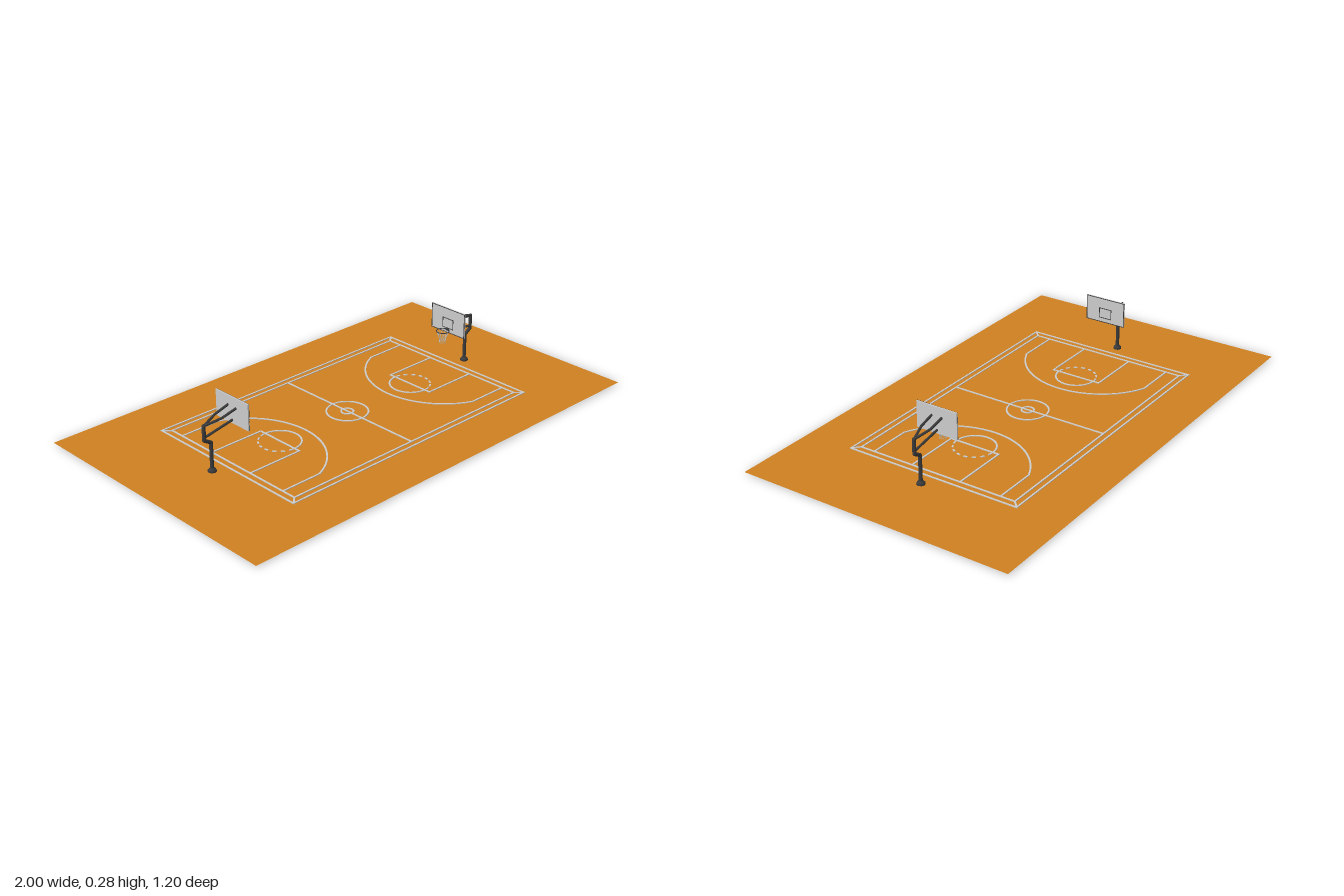
import * as THREE from 'three';

const grey = new THREE.MeshStandardMaterial({ color: 0xcccccc, side: THREE.DoubleSide });
const wood = new THREE.MeshStandardMaterial({ color: 0xcf8020, side: THREE.DoubleSide });
const dark = new THREE.MeshStandardMaterial({ color: 0x3a3a3a });

const LINE_W = 0.007, LINE_H = 0.005, LINE_Y = 0.004;
const V = (x, y, z) => new THREE.Vector3(x, y, z);

function add(parent, name, geometry, material) {
  const mesh = new THREE.Mesh(geometry, material);
  mesh.name = name;
  parent.add(mesh);
  return mesh;
}

// Straight painted line between two floor points
function line(parent, name, x1, z1, x2, z2) {
  const dx = x2 - x1, dz = z2 - z1;
  const m = add(parent, name, new THREE.BoxGeometry(Math.hypot(dx, dz) + LINE_W, LINE_H, LINE_W), grey);
  m.position.set((x1 + x2) / 2, LINE_Y + LINE_H / 2, (z1 + z2) / 2);
  m.rotation.y = -Math.atan2(dz, dx);
}

function rectangle(parent, name, x1, z1, x2, z2) {
  line(parent, name, x1, z1, x2, z1);
  line(parent, name, x1, z2, x2, z2);
  line(parent, name, x1, z1, x1, z2);
  line(parent, name, x2, z1, x2, z2);
}

// Curved painted line: flat ring sector with thickness
function arc(parent, name, cx, r, a0, a1) {
  const s = new THREE.Shape();
  s.absarc(0, 0, r + LINE_W / 2, a0, a1, false);
  s.absarc(0, 0, r - LINE_W / 2, a1, a0, true);
  const g = new THREE.ExtrudeGeometry(s, { depth: LINE_H, bevelEnabled: false, curveSegments: 40 });
  g.rotateX(-Math.PI / 2);
  add(parent, name, g, grey).position.set(cx, LINE_Y, 0);
}

// Round bar through a list of points, with a ball at each joint
function bar(parent, name, r, points) {
  points.forEach((p, i) => {
    add(parent, name, new THREE.SphereGeometry(r, 12, 8), dark).position.copy(p);
    if (i === 0) return;
    const a = points[i - 1];
    const m = add(parent, name, new THREE.CylinderGeometry(r, r, a.distanceTo(p), 12), dark);
    m.position.copy(a).add(p).multiplyScalar(0.5);
    m.quaternion.setFromUnitVectors(V(0, 1, 0), p.clone().sub(a).normalize());
  });
}

// Markings of one half, drawn for the +x end
function halfCourt() {
  const g = new THREE.Group();
  g.name = 'halfCourtLines';
  for (const s of [-1, 1]) {
    line(g, 'cornerLine', 0.61, s * 0.357, 0.64, s * 0.385);
    line(g, 'threePointSide', 0.61, s * 0.294, 0.428, s * 0.294);
    line(g, 'keySide', 0.61, s * 0.112, 0.363, s * 0.112);
  }
  line(g, 'freeThrowLine', 0.363, -0.112, 0.363, 0.112);
  const half = Math.atan2(0.294, 0.119);
  arc(g, 'threePointArc', 0.547, 0.317, Math.PI - half, Math.PI + half);
  arc(g, 'freeThrowArc', 0.363, 0.085, Math.PI / 2, Math.PI * 1.5);
  const step = Math.PI / 8;
  for (let i = 0; i < 8; i++) {
    const a = -Math.PI / 2 + (i + 0.25) * step;
    arc(g, 'freeThrowDash', 0.363, 0.085, a, a + step * 0.5);
  }
  return g;
}

// Stand with backboard, for the +x end
function stand() {
  const g = new THREE.Group();
  g.name = 'basketStand';
  add(g, 'basePlate', new THREE.CylinderGeometry(0.017, 0.018, 0.013, 8), dark).position.set(0.7, 0.0065, 0);
  add(g, 'baseCollar', new THREE.CylinderGeometry(0.009, 0.017, 0.009, 8), dark).position.set(0.7, 0.0175, 0);
  bar(g, 'post', 0.0075, [V(0.7, 0.015, 0), V(0.7, 0.128, 0), V(0.731, 0.147, 0), V(0.731, 0.207, 0)]);
  bar(g, 'lowerArm', 0.005, [V(0.731, 0.158, 0), V(0.594, 0.184, 0)]);
  for (const s of [-1, 1]) {
    bar(g, 'upperArm', 0.005, [V(0.731, 0.207, 0), V(0.69, 0.216, s * 0.012),
      V(0.66, 0.223, s * 0.021), V(0.594, 0.24, s * 0.023)]);
  }
  add(g, 'backboard', new THREE.BoxGeometry(0.006, 0.11, 0.184), grey).position.set(0.592, 0.225, 0);
  // Border and target square on the court side
  const frame = (name, w, h, y) => {
    for (const s of [-1, 1]) {
      add(g, name, new THREE.BoxGeometry(0.002, 0.003, w), dark).position.set(0.589, y + s * (h / 2 - 0.0015), 0);
      add(g, name, new THREE.BoxGeometry(0.002, h, 0.003), dark).position.set(0.589, y, s * (w / 2 - 0.0015));
    }
  };
  frame('boardBorder', 0.184, 0.11, 0.225);
  frame('targetSquare', 0.06, 0.046, 0.212);
  return g;
}

// Hoop and net
function hoop() {
  const g = new THREE.Group();
  g.name = 'hoop';
  const rim = add(g, 'rim', new THREE.TorusGeometry(0.027, 0.0018, 8, 32), dark);
  rim.rotation.x = Math.PI / 2;
  rim.position.set(0.558, 0.187, 0);
  add(g, 'rimBracket', new THREE.BoxGeometry(0.008, 0.008, 0.016), dark).position.set(0.587, 0.185, 0);
  const radii = [0.027, 0.022, 0.017, 0.014, 0.0135];
  for (let i = 0; i < 10; i++) {
    for (const s of [-1, 1]) {
      const pts = radii.map((r, k) => {
        const a = (i + s * k * 0.5) * Math.PI / 5;
        return V(0.558 + r * Math.cos(a), 0.187 - k * 0.0135, r * Math.sin(a));
      });
      add(g, 'netStrand', new THREE.TubeGeometry(new THREE.CatmullRomCurve3(pts), 12, 0.0007, 5), grey);
    }
  }
  return g;
}

export function createModel() {
  const model = new THREE.Group();
  model.name = 'basketballCourt';

  // Floor
  const floor = add(model, 'floor', new THREE.PlaneGeometry(2, 1.195), wood);
  floor.rotation.x = -Math.PI / 2;
  floor.position.y = 0.006;

  // Boundary and centre markings
  rectangle(model, 'outerBoundary', -0.64, -0.385, 0.64, 0.385);
  rectangle(model, 'innerBoundary', -0.61, -0.357, 0.61, 0.357);
  line(model, 'centreLine', 0, -0.357, 0, 0.357);
  for (const r of [0.085, 0.025]) {
    arc(model, 'centreCircle', 0, r, 0, Math.PI);
    arc(model, 'centreCircle', 0, r, Math.PI, Math.PI * 2);
  }

  // Both ends; only the left end carries a hoop
  for (const turn of [0, Math.PI]) {
    const end = new THREE.Group();
    end.name = turn ? 'rightEnd' : 'leftEnd';
    end.add(halfCourt(), stand());
    if (!turn) end.add(hoop());
    end.rotation.y = turn;
    model.add(end);
  }
  return model;
}
